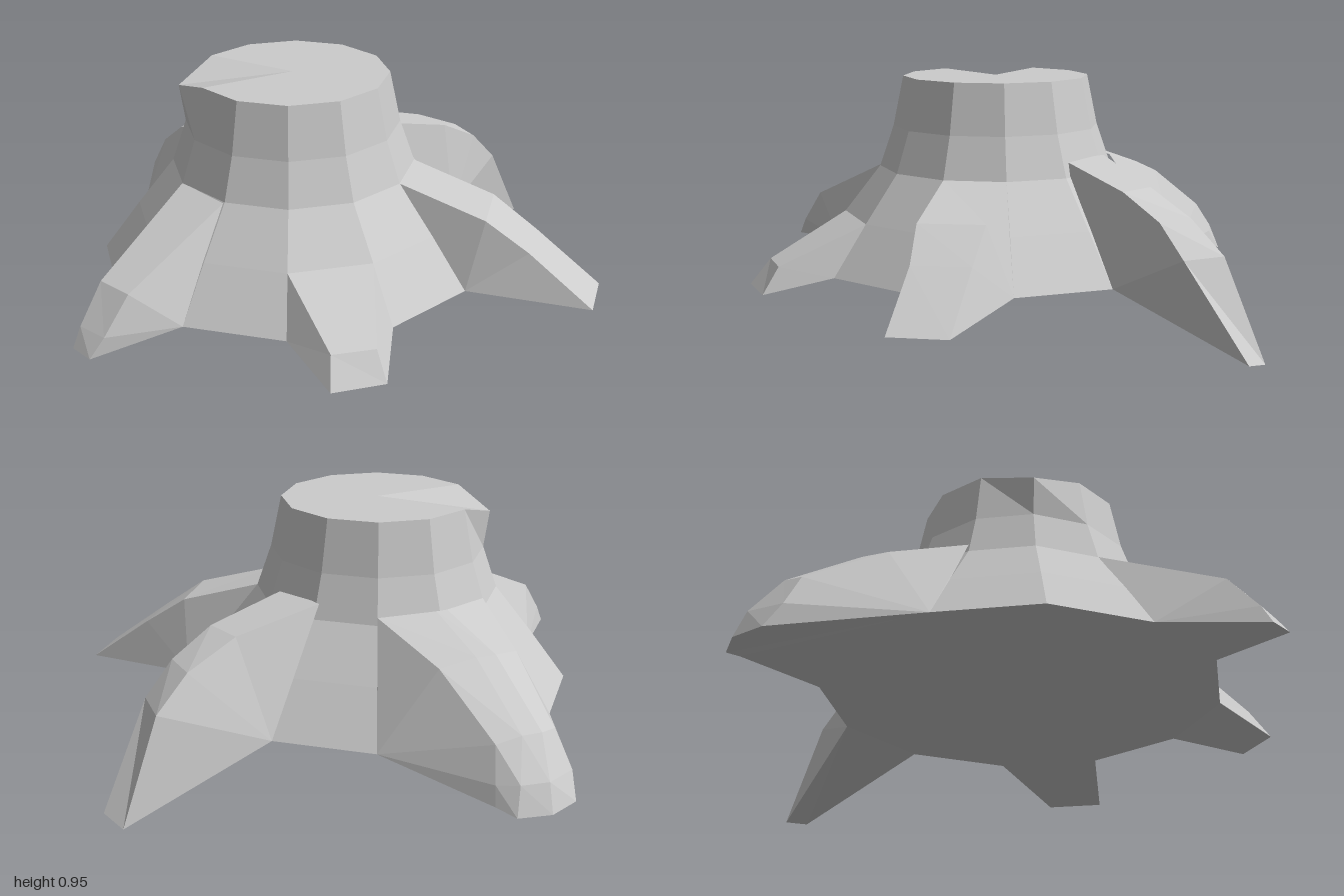
import * as THREE from 'three';

const SIDES = 12, CX = -0.21, CZ = 0.03, BASE_Y = 0.23;
const material = new THREE.MeshStandardMaterial({ color: 0xcccccc, flatShading: true });

// Point on a trunk ring; columns are 30 degrees apart, turning from +x to +z
const ringPoint = (column, radius, y) => {
  const a = (column / SIDES) * Math.PI * 2;
  return [CX + Math.cos(a) * radius, y, CZ + Math.sin(a) * radius];
};
const basePoint = (column) => ringPoint(column, 0.74, BASE_Y);
const flarePoint = (column) => ringPoint(column, 0.6, 0.42);

// Surface between rows of points running outward and down
function addGrid(tris, rows) {
  for (let i = 0; i < rows.length - 1; i++) {
    for (let j = 0; j < rows[i].length - 1; j++) {
      const a = rows[i][j], b = rows[i][j + 1], c = rows[i + 1][j], d = rows[i + 1][j + 1];
      tris.push(a, b, c, b, d, c);
    }
  }
}

function addFan(tris, hub, points, flip = false) {
  for (let i = 0; i < points.length - 1; i++) {
    if (flip) tris.push(hub, points[i + 1], points[i]);
    else tris.push(hub, points[i], points[i + 1]);
  }
}

function makeMesh(name, tris) {
  const geometry = new THREE.BufferGeometry();
  geometry.setAttribute('position', new THREE.Float32BufferAttribute(tris.flat(), 3));
  geometry.computeVertexNormals();
  const mesh = new THREE.Mesh(geometry, material);
  mesh.name = name;
  return mesh;
}

// Flared trunk with a cut top and a flat underside
function makeTrunk() {
  const profile = [[0.365, 0.955], [0.405, 0.76], [0.46, 0.6], [0.6, 0.42], [0.74, BASE_Y]];
  const rows = profile.map(([r, y], i) => Array.from({ length: SIDES + 1 }, (_, c) => {
    const p = ringPoint(c, r, y);
    // chipped corner of the cut
    if (i === 0 && c === 6) { p[0] -= 0.06; p[1] = 0.9; }
    return p;
  }));
  const tris = [];
  addGrid(tris, rows);
  addFan(tris, [CX, 0.955, CZ], rows[0], true);
  addFan(tris, [CX, BASE_Y, CZ], rows[rows.length - 1]);
  return makeMesh('trunk', tris);
}

// Root growing from the columns first..last; each row crosses its upper surface
function makeRoot(name, first, last, rows) {
  const tris = [];
  const tip = rows[rows.length - 1];
  const low = basePoint(first), high = basePoint(last);
  addGrid(tris, rows);
  addFan(tris, low, [flarePoint(first), ...rows.map((r) => r[0])]);
  addFan(tris, high, [flarePoint(last), ...rows.map((r) => r[r.length - 1])], true);
  addFan(tris, low, [...tip, high]);
  return makeMesh(name, tris);
}

export function createModel() {
  const group = new THREE.Group();
  group.name = 'treeStump';
  group.add(
    makeTrunk(),
    makeRoot('leftRoot', 0, 1, [
      [[0.25, 0.6, 0.03], [0.19, 0.6, 0.26]],
      [[0.55, 0.5, 0.13], [0.5, 0.5, 0.37]],
      [[0.71, 0.385, 0.19], [0.66, 0.385, 0.4]],
      [[0.945, 0.2, 0.28], [0.89, 0.2, 0.49]],
    ]),
    makeRoot('frontRoot', 2, 3, [
      [flarePoint(2), flarePoint(3)],
      [[0.1, 0.265, 0.88], [-0.055, 0.265, 0.92]],
      [[0.135, 0.165, 0.94], [-0.055, 0.165, 1]],
    ]),
    makeRoot('frontRightRoot', 4, 5, [
      [[-0.44, 0.6, 0.42], [-0.61, 0.6, 0.26]],
      [[-0.75, 0.4, 0.75], [-0.86, 0.4, 0.65]],
      [[-0.83, 0.27, 0.82], [-0.925, 0.27, 0.74]],
      [[-0.88, 0.2, 0.845], [-0.95, 0.2, 0.77]],
    ]),
    // broad root with a blunt, rounded end
    makeRoot('backRightRoot', 7, 9, [
      [[-0.6, 0.63, -0.2], [-0.46, 0.64, -0.36], [-0.42, 0.64, -0.38], [-0.21, 0.63, -0.43]],
      [[-0.7, 0.53, -0.48], [-0.62, 0.55, -0.57], [-0.55, 0.55, -0.6], [-0.42, 0.53, -0.66]],
      [[-0.81, 0.36, -0.76], [-0.76, 0.37, -0.82], [-0.69, 0.37, -0.85], [-0.6, 0.35, -0.88]],
      [[-0.87, 0.23, -0.81], [-0.78, 0.24, -0.93], [-0.68, 0.24, -0.96], [-0.6, 0.23, -0.94]],
      [[-0.88, 0.14, -0.87], [-0.79, 0.14, -0.97], [-0.67, 0.14, -1], [-0.6, 0.16, -0.96]],
    ]),
    makeRoot('backLeftRoot', 10, 11, [
      [[0, 0.66, -0.37], [0.13, 0.66, -0.2]],
      [[0.29, 0.58, -0.5], [0.39, 0.58, -0.38]],
      [[0.45, 0.49, -0.62], [0.52, 0.49, -0.49]],
      [[0.55, 0.37, -0.72], [0.61, 0.37, -0.56]],
      [[0.66, 0, -0.85], [0.74, 0.02, -0.77]],
    ]),
  );
  return group;
}
